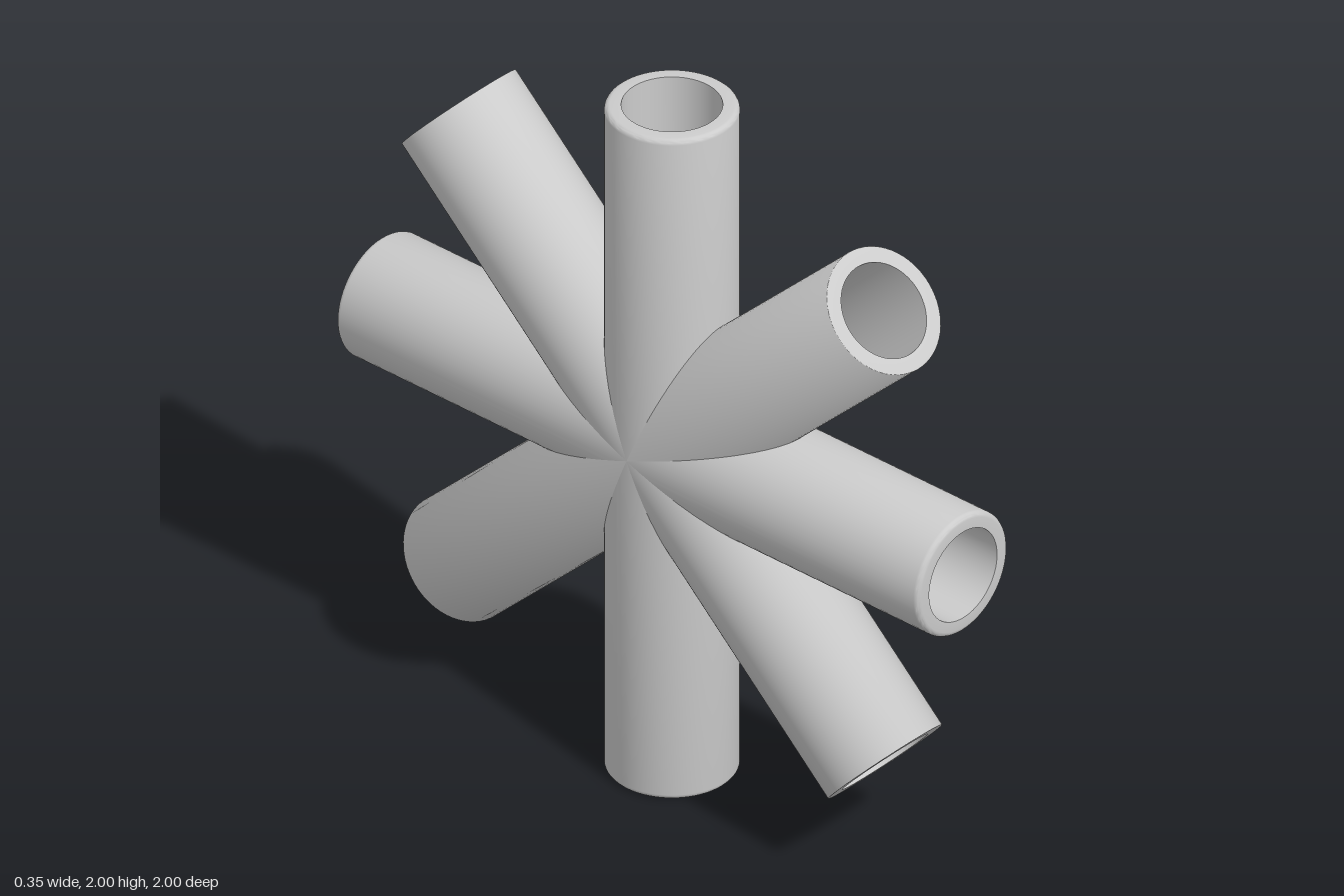
import * as THREE from 'three';
import { toCreasedNormals } from 'three/addons/utils/BufferGeometryUtils.js';

const OUTER = 0.174, INNER = 0.13, HALF = 1;

// Hollow pipe along y, with slightly rounded outer rims
function pipeGeometry(round) {
  const points = [];
  const add = (r, y) => points.push(new THREE.Vector2(r, y));
  const steps = 4;
  add(INNER, -HALF);
  for (let i = 0; i <= steps; i++) {
    const a = (i / steps) * Math.PI / 2;
    add(OUTER - round + round * Math.sin(a), -HALF + round - round * Math.cos(a));
  }
  for (let i = 0; i <= steps; i++) {
    const a = (i / steps) * Math.PI / 2;
    add(OUTER - round + round * Math.cos(a), HALF - round + round * Math.sin(a));
  }
  add(INNER, HALF);
  add(INNER, -HALF);
  return toCreasedNormals(new THREE.LatheGeometry(points, 64), 0.6);
}

export function createModel() {
  const group = new THREE.Group();
  const material = new THREE.MeshStandardMaterial({ color: 0xcccccc });

  // Four through pipes crossing at the centre, tilted in the y-z plane
  const pipes = [
    ['verticalPipe', 0, 0.015],
    ['horizontalPipe', 90, 0.015],
    ['risingPipe', 46.7, 0.002],
    ['fallingPipe', -47.1, 0.002],
  ];
  for (const [name, degrees, round] of pipes) {
    const pipe = new THREE.Mesh(pipeGeometry(round), material);
    pipe.name = name;
    pipe.position.y = 1;
    pipe.rotation.x = THREE.MathUtils.degToRad(degrees);
    group.add(pipe);
  }
  return group;
}
